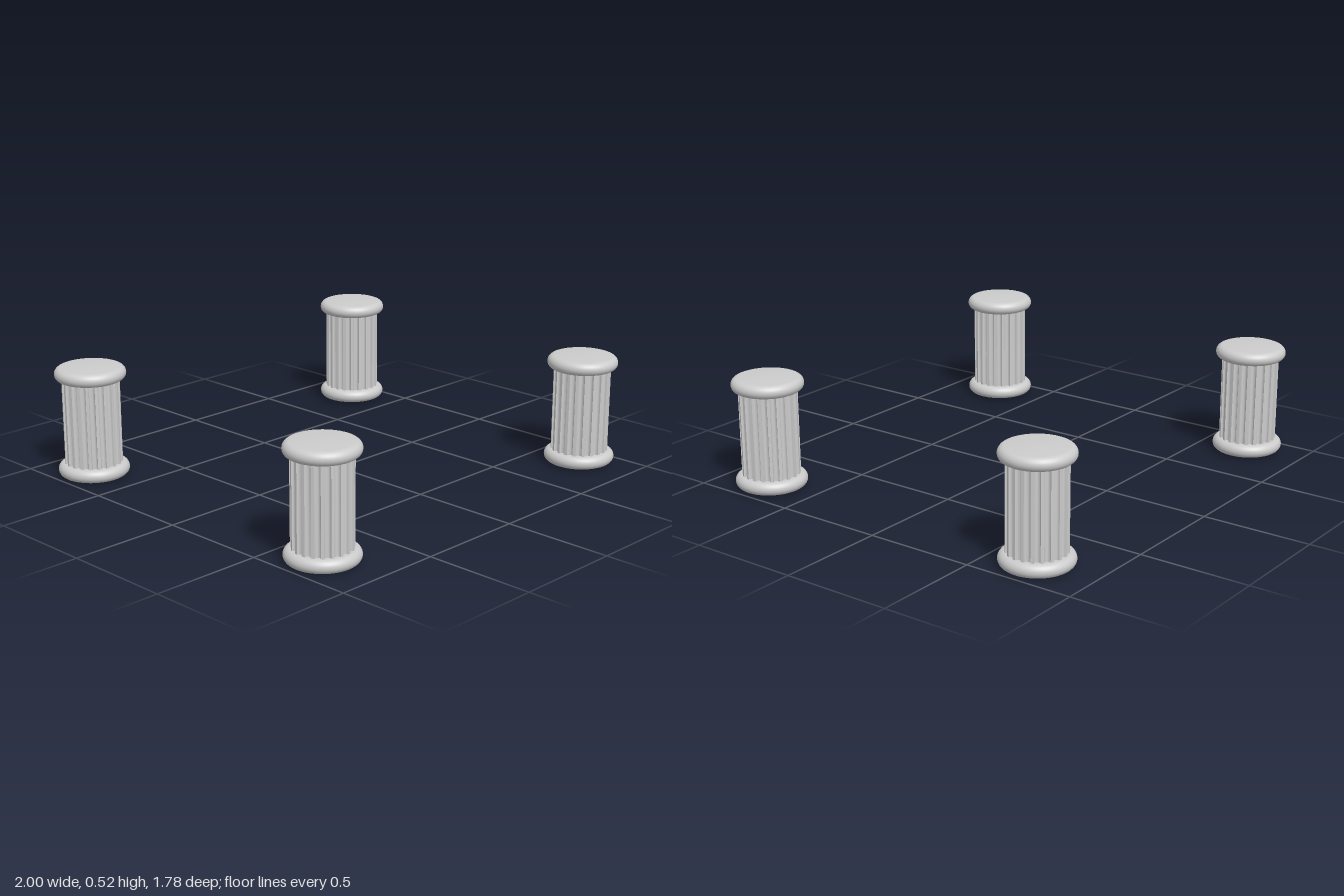
import * as THREE from 'three';
import { toCreasedNormals } from 'three/addons/utils/BufferGeometryUtils.js';

const HEIGHT = 0.517, CAP = 0.066, CAP_R = 0.16, SHAFT_R = 0.13;
const FLUTES = 20, FLUTE_R = 0.0135;

// Round disc with a bulging rim and a slightly domed outer face (at y = 0)
function capGeometry() {
  const points = [[0, 0], [0.05, 0.001], [0.1, 0.004]].map(([x, y]) => new THREE.Vector2(x, y));
  const rim = (CAP - 0.006) / 2;
  for (let i = 0; i <= 12; i++) {
    const a = -Math.PI / 2 + (Math.PI * i) / 12;
    points.push(new THREE.Vector2(CAP_R - rim + rim * Math.cos(a), CAP - rim + rim * Math.sin(a)));
  }
  points.push(new THREE.Vector2(0.08, CAP));
  return new THREE.LatheGeometry(points, 48);
}

// Shaft section: a circle with semicircular flutes cut into it
function shaftGeometry() {
  const points = [];
  const step = (Math.PI * 2) / FLUTES;
  const half = Math.asin(FLUTE_R / SHAFT_R);
  for (let i = 0; i < FLUTES; i++) {
    const a = i * step;
    const centre = SHAFT_R * Math.cos(half);
    for (let j = 0; j <= 8; j++) {
      const t = -Math.PI / 2 + (Math.PI * j) / 8;
      const r = centre - FLUTE_R * Math.cos(t);
      const s = FLUTE_R * Math.sin(t);
      points.push(new THREE.Vector2(
        r * Math.cos(a) - s * Math.sin(a),
        r * Math.sin(a) + s * Math.cos(a)));
    }
    // Middle of the rib between two flutes
    points.push(new THREE.Vector2(SHAFT_R * Math.cos(a + step / 2), SHAFT_R * Math.sin(a + step / 2)));
  }
  const geometry = new THREE.ExtrudeGeometry(new THREE.Shape(points), {
    depth: HEIGHT - CAP * 1.6, bevelEnabled: false,
  });
  geometry.rotateX(-Math.PI / 2).translate(0, CAP * 0.8, 0);
  return toCreasedNormals(geometry, 0.5);
}

export function createModel() {
  const model = new THREE.Group();
  model.name = 'columns';
  const material = new THREE.MeshStandardMaterial({ color: 0xcccccc });
  const cap = capGeometry();
  const shaft = shaftGeometry();

  const add = (parent, name, geometry) => {
    const mesh = new THREE.Mesh(geometry, material);
    mesh.name = name;
    parent.add(mesh);
    return mesh;
  };

  // One column at each corner
  for (const [sx, side] of [[1, 'Left'], [-1, 'Right']]) {
    for (const [sz, end] of [[1, 'front'], [-1, 'back']]) {
      const column = new THREE.Group();
      column.name = `${end}${side}Column`;
      add(column, 'base', cap);
      add(column, 'flutedShaft', shaft);
      const capital = add(column, 'capital', cap);
      capital.rotation.x = Math.PI;
      capital.position.y = HEIGHT;
      column.position.set(sx * (1 - CAP_R), 0, sz * 0.73);
      model.add(column);
    }
  }
  return model;
}
